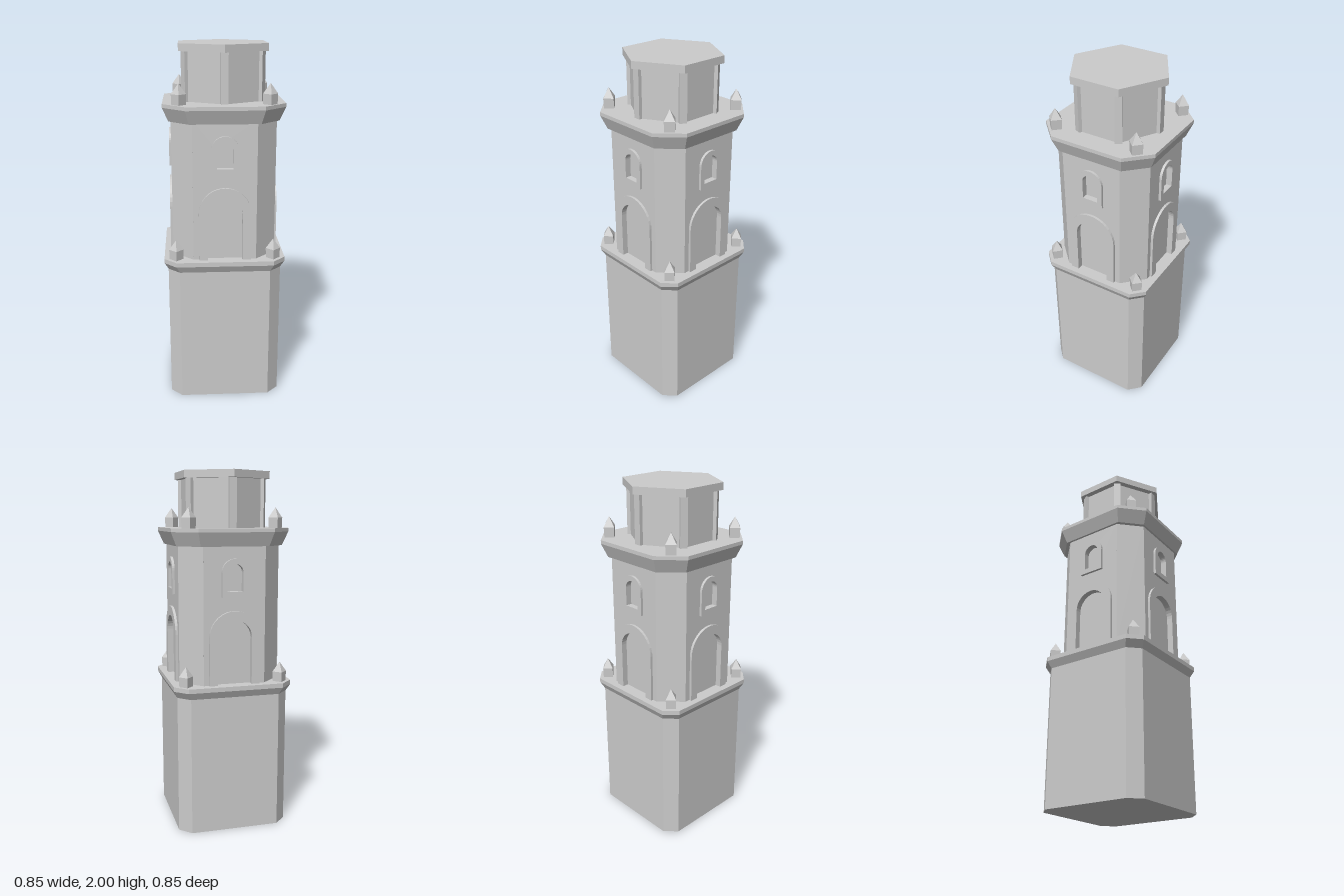
import * as THREE from 'three';

const material = new THREE.MeshStandardMaterial({ color: 0xcccccc, flatShading: true });

function add(parent, name, geometry, x = 0, y = 0, z = 0) {
  const mesh = new THREE.Mesh(geometry, material);
  mesh.name = name;
  mesh.position.set(x, y, z);
  parent.add(mesh);
  return mesh;
}

// Stack of chamfered diamonds; each level is [reach, half chamfer width, height]
function loft(levels) {
  const rings = levels.map(([a, b, y]) =>
    [[a, -b], [a, b], [b, a], [-b, a], [-a, b], [-a, -b], [-b, -a], [b, -a]].map(([x, z]) => [x, y, z]));
  const pos = [];
  const tri = (...points) => points.forEach((p) => pos.push(...p));
  for (let r = 0; r < rings.length - 1; r++) {
    const lo = rings[r], hi = rings[r + 1];
    for (let i = 0; i < 8; i++) {
      const j = (i + 1) % 8;
      tri(lo[i], hi[i], hi[j]);
      tri(lo[i], hi[j], lo[j]);
    }
  }
  const bottom = rings[0], top = rings[rings.length - 1];
  for (let i = 1; i < 7; i++) {
    tri(bottom[0], bottom[i], bottom[i + 1]);
    tri(top[0], top[i + 1], top[i]);
  }
  const geometry = new THREE.BufferGeometry();
  geometry.setAttribute('position', new THREE.Float32BufferAttribute(pos, 3));
  geometry.computeVertexNormals();
  return geometry;
}

// Round-headed outline, used both as a shape and as a hole
function arch(PathType, radius, bottom, spring) {
  const path = new PathType();
  path.moveTo(-radius, bottom);
  path.lineTo(radius, bottom);
  path.lineTo(radius, spring);
  path.absarc(0, spring, radius, 0, Math.PI, false);
  path.lineTo(-radius, bottom);
  return path;
}

function extrude(shape, depth) {
  return new THREE.ExtrudeGeometry(shape, { depth, bevelEnabled: false, curveSegments: 9 });
}

function archFrame(outer, inner, depth) {
  const shape = arch(THREE.Shape, ...outer);
  shape.holes.push(arch(THREE.Path, ...inner));
  return extrude(shape, depth);
}

// Four small pointed posts, one above each chamfer
function finials(parent, name, reach, y) {
  for (let i = 0; i < 4; i++) {
    const finial = new THREE.Group();
    finial.name = name;
    const shaft = new THREE.CylinderGeometry(0.04, 0.038, 0.055, 4).rotateY(Math.PI / 4);
    const tip = new THREE.ConeGeometry(0.04, 0.055, 4).rotateY(Math.PI / 4);
    add(finial, 'finialShaft', shaft, 0, 0.0275, 0);
    add(finial, 'finialTip', tip, 0, 0.0825, 0);
    const angle = i * Math.PI / 2;
    finial.position.set(Math.sin(angle) * reach, y, Math.cos(angle) * reach);
    parent.add(finial);
  }
}

export function createModel() {
  const tower = new THREE.Group();
  tower.name = 'tower';

  // Base block with its flared ledge
  add(tower, 'base', loft([[0.4, 0.045, 0], [0.4, 0.045, 0.78], [0.427, 0.048, 0.82], [0.427, 0.048, 0.845]]));
  finials(tower, 'lowerFinial', 0.38, 0.845);

  // Middle storey: a core, chamfer strips and four pierced walls
  const reach = 0.325, chamfer = 0.08, recess = 0.02, relief = 0.014;
  const wallDistance = (reach + chamfer) / Math.SQRT2;
  const halfWall = (reach - chamfer) / Math.SQRT2;
  add(tower, 'storeyCore', loft([0.83, 1.62].map((y) => [reach, chamfer - recess * Math.SQRT2, y])));

  const wallShape = new THREE.Shape([
    new THREE.Vector2(-halfWall, 0.82), new THREE.Vector2(halfWall, 0.82),
    new THREE.Vector2(halfWall, 1.62), new THREE.Vector2(-halfWall, 1.62)]);
  wallShape.holes.push(arch(THREE.Path, 0.098, 0.825, 1.107), arch(THREE.Path, 0.047, 1.357, 1.463));
  const wall = extrude(wallShape, recess);
  const doorFrame = archFrame([0.143, 0.82, 1.112], [0.096, 0.825, 1.107], recess + relief);
  const windowFrame = archFrame([0.073, 1.33, 1.463], [0.045, 1.36, 1.463], recess + relief);

  for (let i = 0; i < 4; i++) {
    const side = new THREE.Group();
    side.name = 'wallSide';
    side.rotation.y = Math.PI / 4 + i * Math.PI / 2;
    const z = wallDistance - recess;
    add(side, 'wall', wall, 0, 0, z);
    add(side, 'doorFrame', doorFrame, 0, 0, z);
    add(side, 'windowFrame', windowFrame, 0, 0, z);
    tower.add(side);

    const corner = new THREE.Group();
    corner.name = 'corner';
    corner.rotation.y = i * Math.PI / 2;
    add(corner, 'cornerStrip', new THREE.BoxGeometry(chamfer * 2, 0.79, 0.03), 0, 1.225, reach - 0.0149);
    tower.add(corner);
  }

  // Overhanging upper cornice
  add(tower, 'cornice', loft([[0.345, 0.077, 1.6], [0.38, 0.086, 1.675], [0.38, 0.086, 1.695]]));
  finials(tower, 'upperFinial', 0.34, 1.695);

  // Six-sided lantern with corner posts and a flat cap
  const turn = Math.PI / 12;
  add(tower, 'lantern', new THREE.CylinderGeometry(0.242, 0.242, 0.29, 6, 1, false, turn), 0, 1.825, 0);
  for (let i = 0; i < 6; i++) {
    const pivot = new THREE.Group();
    pivot.name = 'lanternPost';
    pivot.rotation.y = turn + i * Math.PI / 3;
    add(pivot, 'post', new THREE.BoxGeometry(0.04, 0.28, 0.05), 0, 1.83, 0.225);
    tower.add(pivot);
  }
  add(tower, 'cap', new THREE.CylinderGeometry(0.277, 0.277, 0.04, 6, 1, false, turn), 0, 1.98, 0);

  return tower;
}
